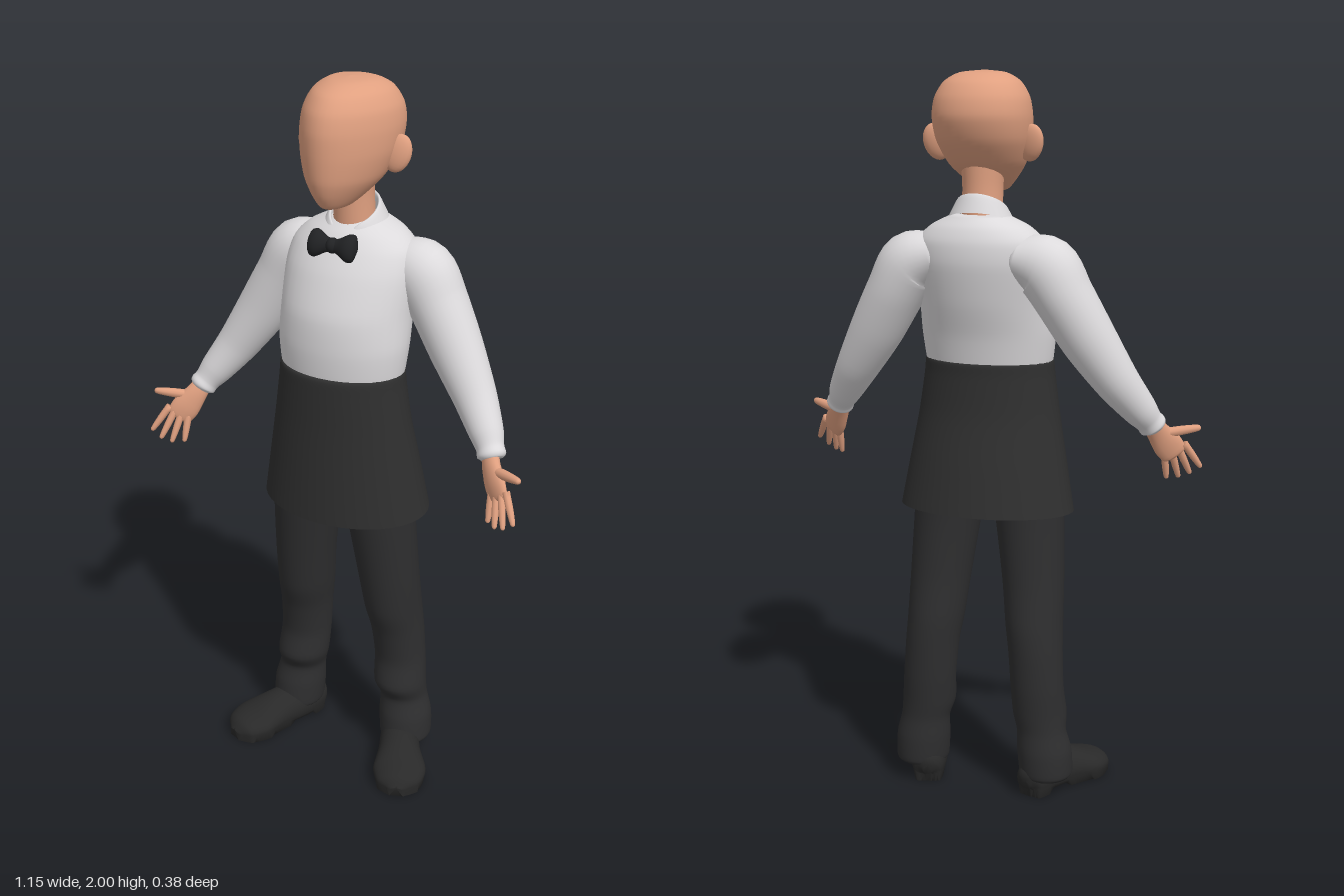
import * as THREE from 'three';

const mat = (name, color, side = THREE.FrontSide) =>
  Object.assign(new THREE.MeshStandardMaterial({ color, side }), { name });

// Smooth tube through sections [x, y, z, radiusA, radiusB].
// Radius A lies along ref; upright keeps every ring horizontal.
function sweep(sections, { ref = [1, 0, 0], upright = false, sides = 28, steps = 5, capped = true, shape } = {}) {
  const path = new THREE.CatmullRomCurve3(sections.map(s => new THREE.Vector3(s[0], s[1], s[2])));
  const radii = new THREE.CatmullRomCurve3(sections.map(s => new THREE.Vector3(s[3], s[4], s[1])));
  path.curveType = radii.curveType = 'catmullrom';
  path.tension = radii.tension = 0.4;
  const rings = (sections.length - 1) * steps;
  const pos = [], index = [];
  for (let i = 0; i <= rings; i++) {
    const t = i / rings;
    const c = path.getPoint(t), r = radii.getPoint(t);
    const T = upright ? new THREE.Vector3(0, 1, 0) : path.getTangent(t);
    const U = new THREE.Vector3(...ref);
    U.addScaledVector(T, -U.dot(T)).normalize();
    const V = new THREE.Vector3().crossVectors(T, U);
    for (let j = 0; j < sides; j++) {
      const a = (j / sides) * Math.PI * 2;
      const p = c.clone()
        .addScaledVector(U, Math.max(r.x, 0.001) * Math.cos(a))
        .addScaledVector(V, Math.max(r.y, 0.001) * Math.sin(a));
      if (shape) shape(p, -Math.sin(a), t);
      pos.push(p.x, p.y, p.z);
      if (i < rings) {
        const k = (j + 1) % sides, lo = i * sides, hi = lo + sides;
        index.push(lo + j, lo + k, hi + k, lo + j, hi + k, hi + j);
      }
    }
  }
  if (capped) {
    const last = rings * sides;
    for (let j = 1; j < sides - 1; j++) {
      index.push(0, j + 1, j, last, last + j, last + j + 1);
    }
  }
  const g = new THREE.BufferGeometry();
  g.setAttribute('position', new THREE.Float32BufferAttribute(pos, 3));
  g.setIndex(index);
  g.computeVertexNormals();
  return g;
}

// Horizontal section from half width, front z and back z
const level = (y, rx, front, back, x = 0) => [x, y, (front + back) / 2, rx, (front - back) / 2];

export function createModel() {
  const model = new THREE.Group();
  const skin = mat('skin', 0xe0a080);
  const shirt = mat('shirt white', 0xdcdadc, THREE.DoubleSide);
  const cloth = mat('apron black', 0x2f2f2f, THREE.DoubleSide);
  const trouser = mat('trouser black', 0x2e2e2f, THREE.DoubleSide);
  const leather = mat('shoe black', 0x292929);
  const satin = mat('bow tie black', 0x212224);
  const add = (name, geometry, material, parent = model) => {
    const m = new THREE.Mesh(geometry, material);
    m.name = name;
    parent.add(m);
    return m;
  };

  // Head, narrower towards the face
  add('head', sweep([
    level(1.68, 0.012, 0.08, 0.04), level(1.69, 0.04, 0.103, 0.0),
    level(1.72, 0.07, 0.122, -0.06), level(1.76, 0.1, 0.134, -0.115),
    level(1.82, 0.122, 0.138, -0.163), level(1.88, 0.128, 0.136, -0.185),
    level(1.93, 0.121, 0.122, -0.178), level(1.97, 0.098, 0.09, -0.152),
    level(1.993, 0.06, 0.035, -0.105), level(2.0, 0.001, -0.03, -0.032),
  ], { upright: true, sides: 36, shape: (p, f) => { p.x *= 1 - 0.2 * f; } }), skin);
  add('neck', sweep([
    level(1.54, 0.065, 0.0, -0.12), level(1.62, 0.056, 0.005, -0.112),
    level(1.7, 0.054, 0.01, -0.108), level(1.78, 0.06, 0.02, -0.11),
  ], { upright: true }), skin);

  // Shirt body and folded collar
  add('shirtBody', sweep([
    level(1.2, 0.17, 0.13, -0.115), level(1.235, 0.178, 0.137, -0.122),
    level(1.31, 0.186, 0.141, -0.138), level(1.4, 0.185, 0.133, -0.165),
    level(1.5, 0.188, 0.095, -0.186), level(1.56, 0.175, 0.06, -0.185),
    level(1.6, 0.135, 0.03, -0.17), level(1.63, 0.075, -0.005, -0.145),
  ], { upright: true, sides: 36 }), shirt);
  add('collar', sweep([
    level(1.61, 0.06, 0.005, -0.115), level(1.648, 0.06, 0.012, -0.118),
    level(1.65, 0.068, 0.02, -0.126), level(1.605, 0.092, 0.038, -0.145),
  ], {
    upright: true, sides: 40, steps: 4, capped: false,
    shape: (p, f) => { p.y -= 0.034 * f + 0.03 * Math.max(0, f) ** 10; },
  }), shirt);

  // Bow tie: two lobes pinched at a knot
  const tie = new THREE.Group();
  tie.name = 'bowTie';
  tie.position.set(0, 1.58, 0.062);
  tie.rotation.x = -0.4;
  model.add(tie);
  for (const s of [-1, 1]) {
    add(s > 0 ? 'leftBow' : 'rightBow', sweep([
      [0, 0, 0, 0.016, 0.012], [s * 0.02, 0, 0, 0.022, 0.016], [s * 0.045, 0, 0, 0.036, 0.023],
      [s * 0.062, 0, -0.004, 0.034, 0.02], [s * 0.07, 0, -0.006, 0.008, 0.006],
    ], { ref: [0, 1, 0], sides: 16, steps: 4 }), satin, tie);
  }
  add('knot', new THREE.SphereGeometry(0.02, 16, 12), satin, tie).scale.set(0.85, 1.05, 1.1);

  // Waist apron, open below
  add('apron', sweep([
    level(1.235, 0.168, 0.125, -0.11), level(1.232, 0.179, 0.143, -0.125),
    level(1.19, 0.184, 0.146, -0.126), level(1.08, 0.2, 0.149, -0.136),
    level(0.95, 0.223, 0.155, -0.163), level(0.82, 0.246, 0.161, -0.188),
  ], {
    upright: true, sides: 40, capped: false,
    shape: (p, f, t) => { p.y -= 0.008 * f * t; },
  }), cloth);

  for (const s of [-1, 1]) {
    const side = s > 0 ? 'left' : 'right';
    const flip = list => list.map(([x, ...rest]) => [s * x, ...rest]);

    // Ear
    const ear = add(side + 'Ear', new THREE.SphereGeometry(1, 18, 14), skin);
    ear.scale.set(0.036, 0.05, 0.018);
    ear.position.set(s * 0.13, 1.815, -0.045);
    ear.rotation.set(-0.15, s * 0.2, -s * 0.25);

    // Sleeve and cuff
    add(side + 'Sleeve', sweep(flip([
      [0.1, 1.525, -0.09, 0.07, 0.055], [0.185, 1.497, -0.088, 0.086, 0.086],
      [0.236, 1.42, -0.084, 0.084, 0.08], [0.3, 1.31, -0.068, 0.073, 0.074],
      [0.37, 1.2, -0.042, 0.059, 0.06], [0.425, 1.12, -0.006, 0.046, 0.047],
      [0.446, 1.088, 0.012, 0.037, 0.038], [0.456, 1.072, 0.022, 0.038, 0.039],
      [0.46, 1.064, 0.026, 0.03, 0.03],
    ]), { ref: [0, 0, 1] }), shirt);

    // Hand with the palm forward and the thumb outward
    const hand = new THREE.Group();
    hand.name = side + 'Hand';
    model.add(hand);
    const across = [s * 0.8, 0.4, 0.4];
    add('palm', sweep(flip([
      [0.45, 1.085, 0.02, 0.025, 0.02], [0.465, 1.052, 0.042, 0.031, 0.02],
      [0.488, 1.013, 0.064, 0.04, 0.018], [0.506, 0.985, 0.078, 0.036, 0.013],
      [0.51, 0.978, 0.081, 0.02, 0.006],
    ]), { ref: across, sides: 18, steps: 3 }), skin, hand);
    const digit = (name, a, b, r) => {
      const mid = a.map((v, i) => (v + b[i]) / 2);
      const near = a.map((v, i) => v + (b[i] - v) * 0.93);
      add(name, sweep(flip([
        [...a, r, r], [...mid, r * 0.95, r * 0.95], [...near, r * 0.65, r * 0.65], [...b, 0.001, 0.001],
      ]), { ref: across, sides: 10, steps: 3 }), skin, hand);
    };
    ['little', 'ring', 'middle', 'index'].forEach((name, i) => {
      const k = i / 3, long = i === 1 || i === 2 ? 0.01 : 0;
      digit(name + 'Finger',
        [0.48 + 0.05 * k, 0.995 + 0.018 * k, 0.065 + 0.022 * k],
        [0.483 + 0.088 * k, 0.91 + 0.03 * k - long, 0.09 + 0.035 * k + long],
        0.0105);
    });
    digit('thumb', [0.475, 1.045, 0.05], [0.572, 1.058, 0.1], 0.014);

    // Trouser leg with folds above the shoe
    add(side + 'TrouserLeg', sweep([
      level(0.05, 0.066, 0.025, -0.11, s * 0.187), level(0.065, 0.075, 0.035, -0.124, s * 0.186),
      level(0.13, 0.077, 0.028, -0.125, s * 0.182), level(0.19, 0.07, 0.014, -0.118, s * 0.174),
      level(0.24, 0.076, 0.036, -0.12, s * 0.166), level(0.32, 0.075, 0.022, -0.125, s * 0.16),
      level(0.42, 0.076, 0.036, -0.127, s * 0.153), level(0.5, 0.08, 0.06, -0.124, s * 0.145),
      level(0.62, 0.086, 0.078, -0.108, s * 0.136), level(0.8, 0.096, 0.1, -0.097, s * 0.119),
      level(0.95, 0.105, 0.11, -0.1, s * 0.1), level(1.1, 0.1, 0.1, -0.1, s * 0.08),
    ], { upright: true }), trouser);

    // Shoe turned outward, flat sole raised under the arch
    add(side + 'Shoe', sweep(flip([
      [0.148, 0.04, -0.113, 0.012, 0.012], [0.153, 0.045, -0.095, 0.05, 0.042],
      [0.175, 0.05, -0.03, 0.062, 0.055], [0.213, 0.045, 0.045, 0.056, 0.062],
      [0.248, 0.034, 0.11, 0.042, 0.077], [0.268, 0.026, 0.16, 0.032, 0.06],
      [0.278, 0.02, 0.185, 0.01, 0.02],
    ]), {
      ref: [0, 1, 0], sides: 32,
      shape: (p, f, t) => {
        const arch = t > 0.27 && t < 0.45 ? 0.015 : 0;
        p.y = p.y < 0.02 ? arch : p.y;
      },
    }), leather);
  }
  return model;
}
